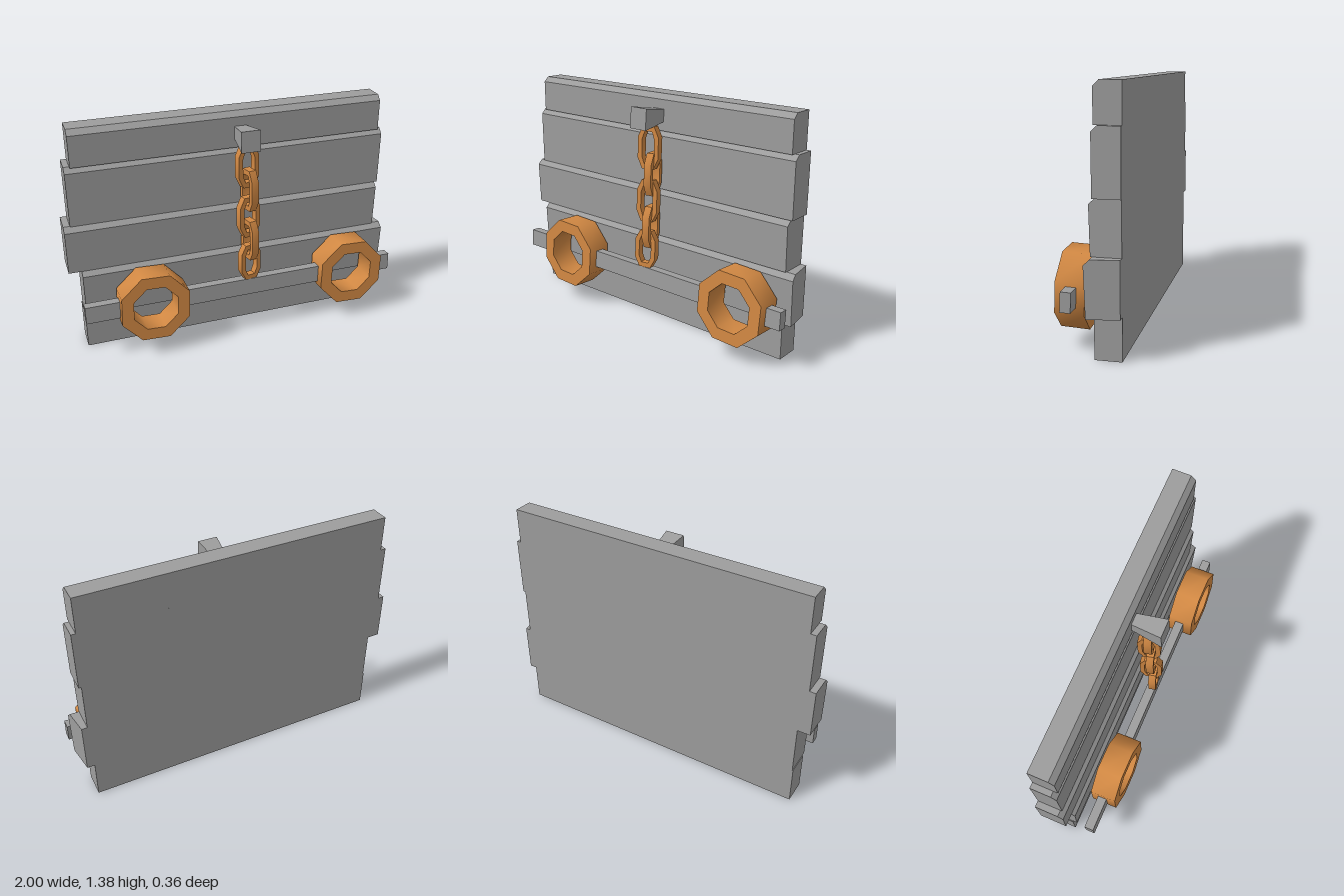
import * as THREE from 'three';
import { toCreasedNormals } from 'three/addons/utils/BufferGeometryUtils.js';

const grey = new THREE.MeshStandardMaterial({ color: 0x9d9d9d });
const copper = new THREE.MeshStandardMaterial({ color: 0xd18843 });
const LEAN = -0.045; // hanging parts lean back slightly at the top

const polygon = (pts) => pts.map(([x, y]) => new THREE.Vector2(x, y));

function add(parent, name, geometry, material, x = 0, y = 0, z = 0) {
  const mesh = new THREE.Mesh(geometry, material);
  mesh.name = name;
  mesh.position.set(x, y, z);
  parent.add(mesh);
  return mesh;
}

// Flat loop with a hole, extruded and centred on z, smooth around its walls
function loopGeometry(outer, inner, depth) {
  const shape = new THREE.Shape(polygon(outer));
  shape.holes.push(new THREE.Path(polygon(inner)));
  const geo = new THREE.ExtrudeGeometry(shape, { depth, bevelEnabled: false });
  return toCreasedNormals(geo.translate(0, 0, -depth / 2), 0.9);
}

// Plank with a bevelled top front edge; taper pulls in the back of the left end
function plankGeometry({ x0, x1, y0, y1, low, high, bevel = 0.03, taper = 0 }) {
  const back = -0.18;
  const profile = [[low, y0], [back, y0], [back, y1], [high - bevel, y1]];
  if (bevel > 0) profile.push([high, y1 - bevel]);
  const shape = new THREE.Shape(polygon(profile.map(([z, y]) => [-z, y])));
  const geo = new THREE.ExtrudeGeometry(shape, { depth: x1 - x0, bevelEnabled: false });
  geo.rotateY(Math.PI / 2).translate(x0, 0, 0);
  const p = geo.attributes.position;
  for (let i = 0; i < p.count; i++) {
    if (p.getX(i) > 0) p.setX(i, p.getX(i) - taper * (high - p.getZ(i)) / (high - back));
  }
  geo.computeVertexNormals();
  return geo;
}

function octagon(r, start) {
  return Array.from({ length: 8 }, (_, i) => {
    const a = start + i * Math.PI / 4;
    return [r * Math.cos(a), r * Math.sin(a)];
  });
}

// Elongated octagon for the chain links
function linkOutline(w, h, endW, cornerY) {
  return [[endW, -h], [w, -cornerY], [w, cornerY], [endW, h],
    [-endW, h], [-w, cornerY], [-w, -cornerY], [-endW, -h]];
}

export function createModel() {
  const model = new THREE.Group();
  model.name = 'plankPanel';

  // Wall of five uneven planks
  const planks = new THREE.Group();
  planks.name = 'planks';
  model.add(planks);
  [
    { x0: -0.93, x1: 0.923, y0: 0, y1: 0.23, low: -0.037, high: -0.037, bevel: 0 },
    { x0: -0.925, x1: 0.992, y0: 0.23, y1: 0.528, low: -0.012, high: -0.002, taper: 0.025 },
    { x0: -1, x1: 0.934, y0: 0.528, y1: 0.815, low: -0.022, high: -0.015 },
    { x0: -0.963, x1: 0.949, y0: 0.815, y1: 1.163, low: -0.035, high: -0.033 },
    { x0: -0.93, x1: 0.923, y0: 1.163, y1: 1.375, low: -0.037, high: -0.037 },
  ].forEach((p, i) => add(planks, `plank${i + 1}`, plankGeometry(p), grey));

  // Octagonal rings near both ends
  const ringGeo = loopGeometry(octagon(0.218, 0.35), octagon(0.142, 0.35), 0.155);
  [['rightRing', -0.544], ['leftRing', 0.706]].forEach(([name, x]) => {
    add(model, name, ringGeo, copper, x, 0.31, 0.093).rotation.x = LEAN;
  });

  // Crossbar, interrupted by the ring openings
  [['rightBarEnd', -0.945, -0.72], ['barMiddle', -0.375, 0.53], ['leftBarEnd', 0.875, 0.997]]
    .forEach(([name, a, b]) => {
      const geo = new THREE.BoxGeometry(b - a, 0.105, 0.055);
      add(model, name, geo, grey, (a + b) / 2, 0.309, 0.087).rotation.x = LEAN;
    });

  // Tapered peg holding the chain
  const pegGeo = new THREE.BoxGeometry(1, 1, 1);
  const pp = pegGeo.attributes.position;
  for (let i = 0; i < pp.count; i++) {
    const front = pp.getZ(i) > 0, top = pp.getY(i) > 0;
    pp.setXYZ(i,
      0.041 + pp.getX(i) * (front ? 0.114 : 0.07),
      front ? (top ? 1.32 : 1.198) : (top ? 1.29 : 1.217),
      front ? (top ? 0.138 : 0.147) : -0.042);
  }
  pegGeo.computeVertexNormals();
  add(model, 'peg', pegGeo, grey);

  // Chain of alternating links
  const chain = new THREE.Group();
  chain.name = 'chain';
  model.add(chain);
  const linkGeo = loopGeometry(
    linkOutline(0.066, 0.125, 0.036, 0.063), linkOutline(0.039, 0.094, 0.023, 0.05), 0.045);
  [
    [0.05, 1.081, 0.053], [0.068, 0.927, 0.047], [0.054, 0.768, 0.069],
    [0.068, 0.612, 0.065], [0.057, 0.477, 0.088],
  ].forEach(([x, y, z], i) => {
    const link = add(chain, `link${i + 1}`, linkGeo, copper, x, y, z);
    link.rotation.set(LEAN, (i % 2 ? -Math.PI / 2 : 0) + 0.2, 0);
    if (i === 4) link.scale.y = 0.9; // last link is a little shorter
  });

  return model;
}
